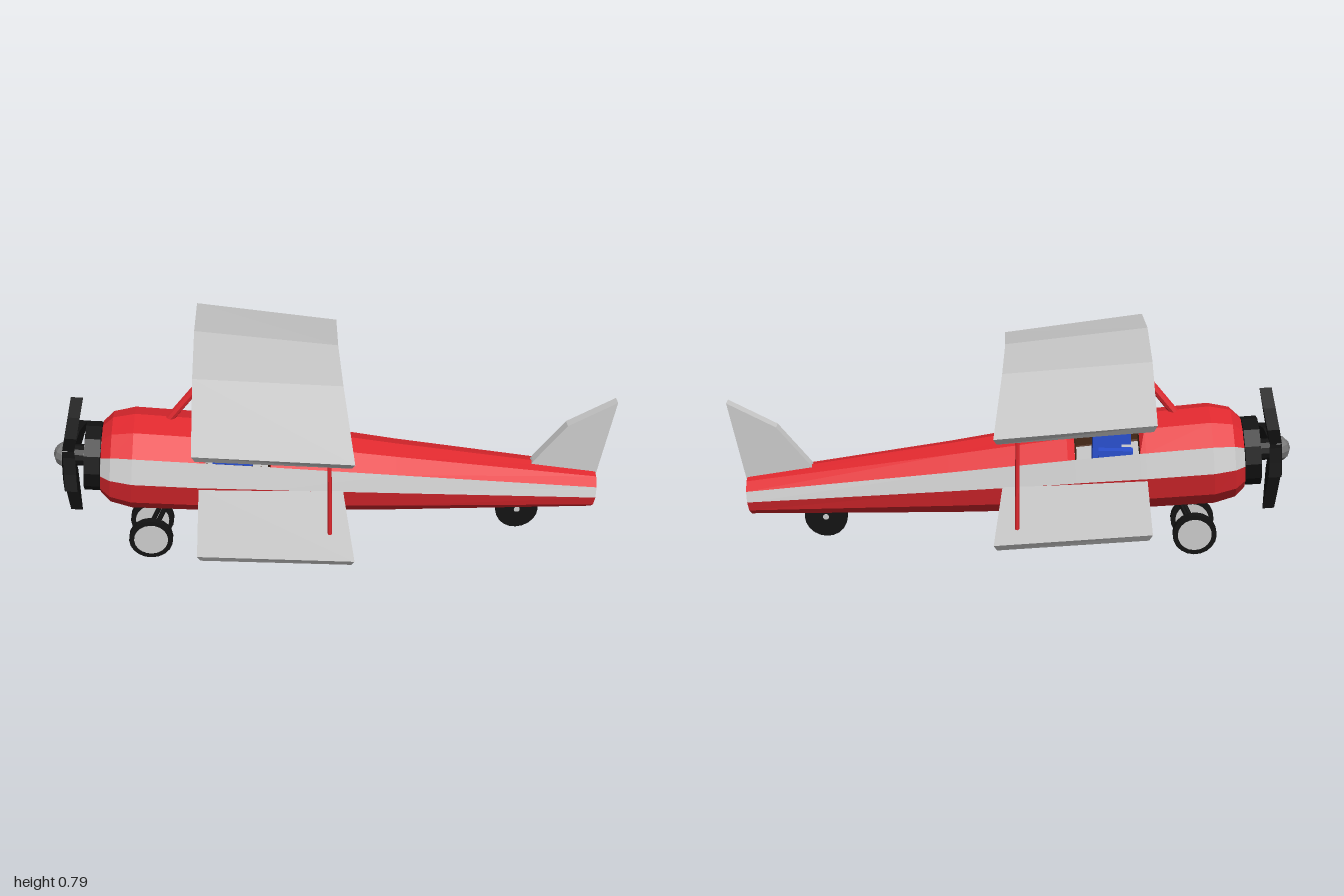
import * as THREE from 'three';

const mat = (color) => new THREE.MeshStandardMaterial({ color, flatShading: true, side: THREE.DoubleSide });
const RED = mat(0xe0282e), GREY = mat(0xcccccc), BLACK = mat(0x131313), STEEL = mat(0x777777);
const BROWN = mat(0x5e332c), LINING = mat(0x52301c), SKIN = mat(0xe0b48c), BLUE = mat(0x2a50d0);
const V = (x, y, z) => new THREE.Vector3(x, y, z);

function add(parent, name, geometry, material, x = 0, y = 0, z = 0) {
  const mesh = new THREE.Mesh(geometry, material);
  mesh.name = name;
  mesh.position.set(x, y, z);
  parent.add(mesh);
  return mesh;
}

function fromTriangles(points) {
  const g = new THREE.BufferGeometry().setFromPoints(points);
  g.computeVertexNormals();
  return g;
}

// Skin between closed rings; keep(i, j) chooses which panels are made
function loftPoints(rings, keep = () => true) {
  const out = [], n = rings[0].length;
  for (let i = 0; i < rings.length - 1; i++) {
    for (let j = 0; j < n; j++) {
      if (!keep(i, j)) continue;
      const k = (j + 1) % n;
      const a = rings[i][j], b = rings[i][k], c = rings[i + 1][k], d = rings[i + 1][j];
      out.push(a, d, c, a, c, b);
    }
  }
  return out;
}

function capPoints(ring, flip) {
  const out = [];
  for (let j = 1; j < ring.length - 1; j++) {
    out.push(ring[0], ...(flip ? [ring[j + 1], ring[j]] : [ring[j], ring[j + 1]]));
  }
  return out;
}

function rod(parent, name, a, b, radius, material) {
  const dir = b.clone().sub(a);
  const mesh = add(parent, name, new THREE.CylinderGeometry(radius, radius, dir.length(), 8), material);
  mesh.position.copy(a).add(b).multiplyScalar(0.5);
  mesh.quaternion.setFromUnitVectors(V(0, 1, 0), dir.normalize());
}

// Twelve-sided body with a side stripe and an open cockpit
function addFuselage(plane) {
  const SIDES = 12, COCKPIT = 4;
  // x, centre height, half height, half width, scale of the upper panels
  const stations = [
    [-0.83, 0.385, 0.125, 0.13, 1], [-0.795, 0.384, 0.16, 0.16, 1], [-0.72, 0.378, 0.178, 0.18, 1],
    [-0.49, 0.354, 0.174, 0.178, 1], [-0.47, 0.352, 0.173, 0.177, 0.88],
    [-0.245, 0.326, 0.161, 0.162, 0.88], [-0.22, 0.322, 0.16, 0.16, 1],
    [0.2, 0.27, 0.13, 0.125, 1], [0.935, 0.193, 0.074, 0.084, 1],
  ];
  const ring = ([x, cy, ry, rz, top], s = 1) => Array.from({ length: SIDES }, (_, j) => {
    const a = (j / SIDES) * Math.PI * 2;
    const k = s * (j > 1 && j < 5 ? top : 1);
    const dy = k * ry * Math.sin(a);
    return V(x + 0.09 * dy, cy + dy, k * rz * Math.cos(a));
  });
  const rings = stations.map((s) => ring(s));
  const isStripe = (j) => j === 0 || j === 5;
  const isOpen = (i, j) => i === COCKPIT && j > 0 && j < 5;
  add(plane, 'fuselage', fromTriangles([
    ...loftPoints(rings, (i, j) => !isStripe(j) && !isOpen(i, j)),
    ...capPoints(rings[0], false), ...capPoints(rings.at(-1), true),
  ]), RED);
  add(plane, 'sideStripes', fromTriangles(loftPoints(rings, (i, j) => isStripe(j))), GREY);

  const inner = [ring(stations[COCKPIT], 0.97), ring(stations[COCKPIT + 1], 0.97)];
  add(plane, 'cockpitLining', fromTriangles([
    ...loftPoints(inner, (i, j) => j < 1 || j > 4),
    ...capPoints(inner[0], true), ...capPoints(inner[1], false),
  ]), LINING);
}

// Wing corners: leading top, trailing top, trailing bottom, leading bottom
function addWing(plane, name, tip, mid) {
  const mirror = (ring) => ring.map((p) => V(p.x, p.y, -p.z));
  const rings = [mirror(tip), mirror(mid), mid, tip];
  add(plane, name, fromTriangles([
    ...loftPoints(rings), ...capPoints(rings[0], false), ...capPoints(tip, true),
  ]), GREY);
}

// Cowl ring, hub, spinner and four swept blades
function addPropeller(plane) {
  const nose = new THREE.Group();
  nose.name = 'propeller';
  nose.position.set(-0.86, 0.39, 0);
  nose.rotation.z = -0.09;
  plane.add(nose);
  const disc = (r1, r2, len) => new THREE.CylinderGeometry(r1, r2, len, 12).rotateZ(Math.PI / 2);
  add(nose, 'cowlRing', disc(0.122, 0.122, 0.055), BLACK);
  add(nose, 'enginePlate', disc(0.09, 0.09, 0.06), STEEL);
  add(nose, 'propellerShaft', disc(0.038, 0.038, 0.1), BLACK, -0.06);
  const spinner = add(nose, 'spinner', new THREE.SphereGeometry(0.045, 10, 6), STEEL, -0.1);
  spinner.scale.x = 0.9;

  const outline = [[-0.022, 0], [-0.042, 0.09], [-0.022, 0.165], [0, 0.235], [0.022, 0.165], [0.042, 0.09], [0.022, 0]];
  const shape = new THREE.Shape(outline.map(([x, y]) => new THREE.Vector2(x, y)));
  const blade = new THREE.ExtrudeGeometry(shape, { depth: 0.042, bevelEnabled: false });
  blade.translate(0, 0, -0.021).rotateY(Math.PI / 2);
  const p = blade.attributes.position;
  for (let i = 0; i < p.count; i++) p.setX(i, p.getX(i) + 0.14 * p.getY(i));
  blade.computeVertexNormals();
  for (let i = 0; i < 4; i++) add(nose, 'blade', blade, BLACK, -0.092).rotation.x = (i * Math.PI) / 2;
}

function addWheel(plane, name, x, y, z, radius, hub) {
  const wheel = new THREE.Group();
  wheel.name = name;
  wheel.position.set(x, y, z);
  plane.add(wheel);
  const disc = (r, w) => new THREE.CylinderGeometry(r, r, w, 20).rotateX(Math.PI / 2);
  add(wheel, 'tyre', disc(radius, 0.024), BLACK);
  add(wheel, 'hubcap', disc(hub, 0.027), GREY);
}

function addPilot(plane) {
  const pilot = new THREE.Group();
  pilot.name = 'pilot';
  pilot.position.set(-0.35, 0, 0);
  plane.add(pilot);
  add(pilot, 'torso', new THREE.BoxGeometry(0.1, 0.17, 0.14), BLUE, 0, 0.4, 0);
  for (const s of [-1, 1]) add(pilot, 'arm', new THREE.BoxGeometry(0.12, 0.045, 0.035), BLUE, -0.03, 0.4, s * 0.08);
  add(pilot, 'face', new THREE.BoxGeometry(0.09, 0.075, 0.105), SKIN, -0.025, 0.528, 0);
  add(pilot, 'goggles', new THREE.BoxGeometry(0.02, 0.024, 0.115), BROWN, -0.068, 0.545, 0);

  // Helmet side outline, with chamfered edges
  const outline = [[-0.07, 0.555], [-0.06, 0.585], [-0.025, 0.6], [0.045, 0.6], [0.07, 0.575], [0.07, 0.5], [0.055, 0.488], [0.01, 0.488], [0.01, 0.555]];
  const shape = new THREE.Shape(outline.map(([x, y]) => new THREE.Vector2(x, y)));
  const helmet = new THREE.ExtrudeGeometry(shape, {
    depth: 0.1, bevelThickness: 0.02, bevelSize: 0.01, bevelSegments: 1,
  });
  add(pilot, 'helmet', helmet, BROWN, 0, 0, -0.05);
}

export function createModel() {
  const plane = new THREE.Group();
  plane.name = 'biplane';
  addFuselage(plane);
  addPropeller(plane);
  addPilot(plane);

  addWing(plane, 'upperWing',
    [V(-0.49, 0.71, 0.535), V(0.03, 0.64, 0.505), V(0.02, 0.615, 0.485), V(-0.48, 0.68, 0.515)],
    [V(-0.49, 0.785, 0.17), V(0.015, 0.725, 0.145), V(0.005, 0.655, 0.125), V(-0.48, 0.715, 0.15)]);
  addWing(plane, 'lowerWing',
    [V(-0.49, 0.322, 0.535), V(0.03, 0.257, 0.505), V(0.02, 0.23, 0.485), V(-0.48, 0.292, 0.515)],
    [V(-0.49, 0.346, 0.17), V(0.015, 0.296, 0.14), V(0.005, 0.222, 0.12), V(-0.48, 0.28, 0.15)]);

  // Struts
  for (const z of [0.37, -0.417]) rod(plane, 'wingStrut', V(-0.045, 0.265, z), V(-0.045, 0.66, z), 0.007, RED);
  rod(plane, 'centreStrut', V(-0.6, 0.515, 0), V(-0.43, 0.72, 0), 0.015, RED);

  // Tail fin
  const fin = new THREE.Shape([[0.69, 0.28], [0.71, 0.315], [0.825, 0.46], [0.997, 0.55], [0.942, 0.24]]
    .map(([x, y]) => new THREE.Vector2(x, y)));
  add(plane, 'tailFin', new THREE.ExtrudeGeometry(fin, { depth: 0.036, bevelEnabled: false }), GREY, 0, 0, -0.018);

  // Landing gear
  for (const [z, legZ] of [[0.077, 0.055], [-0.049, -0.028]]) {
    addWheel(plane, 'frontWheel', -0.675, 0.079, z, 0.079, 0.061);
    rod(plane, 'gearLeg', V(-0.675, 0.079, legZ), V(-0.6, 0.23, legZ), 0.009, BLACK);
  }
  rod(plane, 'frontAxle', V(-0.675, 0.079, 0.077), V(-0.675, 0.079, -0.049), 0.008, BLACK);
  addWheel(plane, 'tailWheel', 0.665, 0.104, 0, 0.078, 0.011);
  return plane;
}
